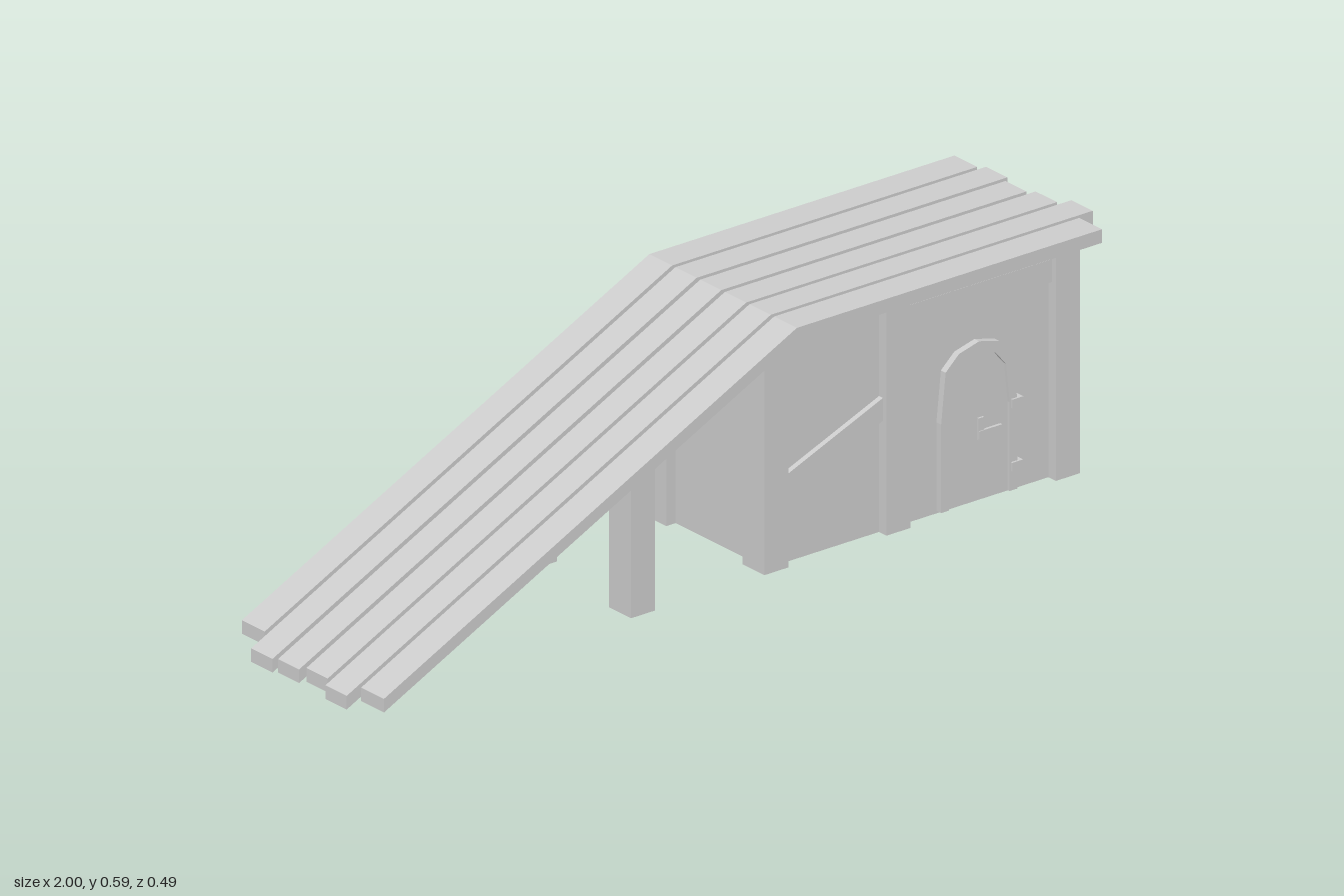
import * as THREE from 'three';

const solid = new THREE.MeshStandardMaterial({ color: 0xcccccc, flatShading: true });
const open = new THREE.MeshStandardMaterial({ color: 0xcccccc, flatShading: true, side: THREE.DoubleSide });
const BASE = 0.022, EAVE = 0.557, KINK = 0.137, SLOPE = 0.4895, THICK = 0.031;
const FRONT = 0.175; // z of the long walls

// height of the roof underside at x
const roofY = (x) => EAVE - Math.max(0, KINK - x) * SLOPE;

export function createModel() {
  const model = new THREE.Group();

  const add = (name, geometry, parent = model, material = solid) => {
    const mesh = new THREE.Mesh(geometry, material);
    mesh.name = name;
    parent.add(mesh);
    return mesh;
  };

  // outline in x/y pushed out between two z values
  const slab = (name, points, z0, z1, parent) => {
    const shape = new THREE.Shape(points.map(([x, y]) => new THREE.Vector2(x, y)));
    const geometry = new THREE.ExtrudeGeometry(shape, { depth: z1 - z0, bevelEnabled: false });
    geometry.translate(0, 0, z0);
    return add(name, geometry, parent);
  };

  const box = (name, x0, x1, y0, y1, z0, z1, parent) => {
    const geometry = new THREE.BoxGeometry(x1 - x0, y1 - y0, z1 - z0);
    geometry.translate((x0 + x1) / 2, (y0 + y1) / 2, (z0 + z1) / 2);
    return add(name, geometry, parent);
  };

  // roof planks, bent at the ridge, with uneven ends: [z0, z1, left x, right x]
  const planks = [
    [-0.246, -0.17, -0.955, 0.955],
    [-0.159, -0.088, -1.0, 0.97],
    [-0.076, -0.006, -0.995, 0.955],
    [0.006, 0.077, -0.985, 0.97],
    [0.088, 0.159, -1.0, 1.0],
    [0.17, 0.246, -0.97, 0.955],
  ];
  const roof = new THREE.Group();
  roof.name = 'roof';
  model.add(roof);
  planks.forEach(([z0, z1, x0, x1], i) => {
    slab('roofPlank', [
      [x0, roofY(x0)], [KINK, EAVE], [x1, EAVE],
      [x1, EAVE + THICK], [KINK, EAVE + THICK], [x0, roofY(x0) + THICK],
    ], z0, z1, roof);
    // strip closing the gap to the next plank, recessed under the ramp
    if (i < planks.length - 1) {
      const y = roofY(-0.28);
      slab('gapStrip', [
        [-0.28, y + 0.008], [KINK, EAVE + 0.008], [0.15, EAVE], [0.94, EAVE],
        [0.94, EAVE + 0.024], [0.15, EAVE + 0.024], [KINK, EAVE + 0.018], [-0.28, y + 0.018],
      ], z1, planks[i + 1][0], roof);
    }
  });

  // posts: hollow underneath, tops cut to the roof line
  const post = (name, x0, side) => {
    const w = 0.065, d = 0.073;
    const geometry = new THREE.BoxGeometry(w, 1, d);
    geometry.translate(x0 + w / 2, 0, side * (0.2 - d / 2));
    const p = geometry.attributes.position;
    for (let i = 0; i < p.count; i++) p.setY(i, p.getY(i) > 0 ? roofY(p.getX(i)) : BASE);
    const index = Array.from(geometry.index.array);
    index.splice(18, 6); // open bottom
    geometry.setIndex(index);
    geometry.computeVertexNormals();
    add(name, geometry, model, open);
  };
  for (const side of [1, -1]) {
    post('rampPost', -0.271, side);
    post('cornerPost', 0.087, side);
    post('middlePost', side > 0 ? 0.414 : 0.481, side);
    post('cornerPost', 0.868, side);
  }

  // wall sheets facing outwards
  const wall = (name, width, x, z, turn) => {
    const mesh = add(name, new THREE.PlaneGeometry(width, EAVE - BASE), model, open);
    mesh.position.set(x, (EAVE + BASE) / 2, z);
    mesh.rotation.y = turn;
  };
  wall('frontWall', 0.796, 0.51, FRONT, 0);
  wall('backWall', 0.796, 0.51, -FRONT, Math.PI);
  wall('leftWall', 2 * FRONT, 0.908, 0, Math.PI / 2);
  wall('rightWall', 2 * FRONT, 0.112, 0, -Math.PI / 2);

  // rails between posts, set through the wall: [x0, lower y at x0, x1, lower y at x1, side]
  for (const [x0, y0, x1, y1, side] of [
    [0.152, 0.174, 0.414, 0.28, 1],
    [0.479, 0.472, 0.868, 0.472, 1],
    [0.152, 0.175, 0.481, 0.1, -1],
    [0.546, 0.467, 0.868, 0.38, -1],
  ]) {
    const h = side > 0 ? 0.052 : 0.063;
    const z = side * FRONT;
    slab('wallRail', [[x0, y0], [x1, y1], [x1, y1 + h], [x0, y0 + h]], z - 0.013, z + 0.013);
  }

  // arched door with raised frame
  const door = new THREE.Group();
  door.name = 'door';
  model.add(door);
  const cx = 0.67;
  const half = [[0.102, BASE + 0.006], [0.102, 0.23], [0.09, 0.345], [0.054, 0.378], [0, 0.392]];
  const arch = (sx, drop) => {
    const right = half.map(([x, y], i) => [x * sx, i < 2 ? y : y - drop]);
    const left = right.slice(0, -1).reverse().map(([x, y]) => [-x, y]);
    return [...right, ...left].map(([x, y]) => [cx + x, y]);
  };
  const outer = arch(1, 0), inner = arch(0.8, 0.024);
  slab('doorPanel', inner, FRONT, FRONT + 0.009, door);
  slab('doorFrame', [...outer, ...inner.reverse()], FRONT, FRONT + 0.016, door);

  // latch and hinges
  box('latchPlate', 0.67, 0.685, 0.165, 0.215, FRONT, FRONT + 0.014, door);
  box('latchLever', 0.67, 0.732, 0.168, 0.186, FRONT, FRONT + 0.016, door);
  for (const y of [0.083, 0.227]) box('hinge', 0.755, 0.784, y - 0.01, y + 0.01, FRONT - 0.005, FRONT + 0.021, door);

  return model;
}
